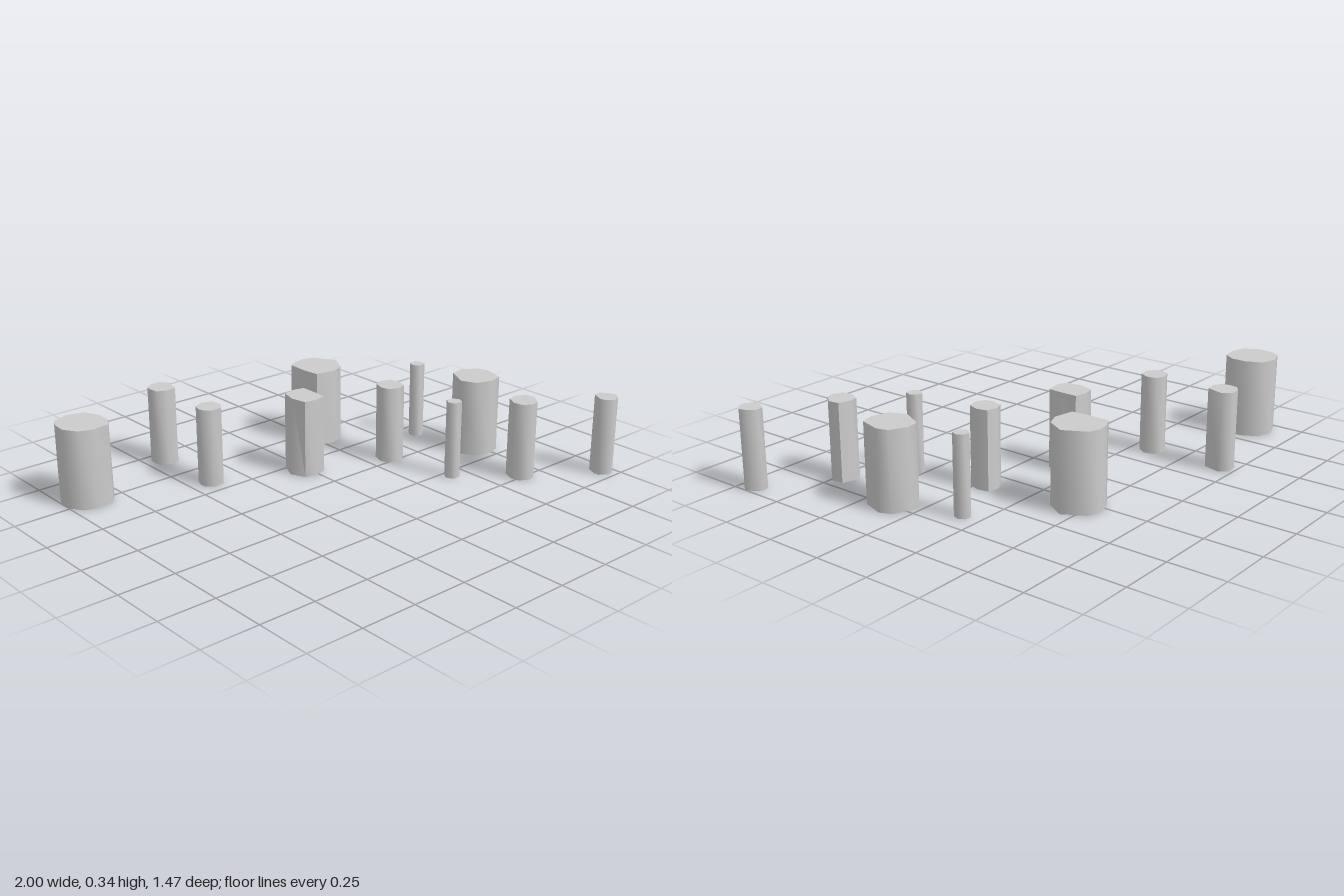
import * as THREE from 'three';
import { toCreasedNormals } from 'three/addons/utils/BufferGeometryUtils.js';

const HEIGHT = 0.345;
const material = new THREE.MeshStandardMaterial({ color: 0xcccccc });

// One upright stone pillar. The outline lists x, z corner offsets in hundredths
// of a unit; the top is cut to the range minX..maxX so some sides lean inward.
function pillar(name, x, z, outline, minX = -99, maxX = 99) {
  const corners = [];
  for (let i = 0; i < outline.length; i += 2) {
    corners.push(new THREE.Vector2(outline[i] / 100, -outline[i + 1] / 100));
  }
  const extruded = new THREE.ExtrudeGeometry(new THREE.Shape(corners), {
    depth: HEIGHT, bevelEnabled: false,
  });
  extruded.rotateX(-Math.PI / 2);
  const p = extruded.attributes.position;
  for (let i = 0; i < p.count; i++) {
    if (p.getY(i) > HEIGHT / 2) {
      p.setX(i, THREE.MathUtils.clamp(p.getX(i), minX / 100, maxX / 100));
    }
  }
  // Rounded sides, sharp rims
  const mesh = new THREE.Mesh(toCreasedNormals(extruded, 1.1), material);
  mesh.name = name;
  mesh.position.set(x, 0, z);
  return mesh;
}

export function createModel() {
  const group = new THREE.Group();
  group.name = 'stonePillars';

  // Large pillars
  group.add(
    pillar('largePillarRight', -0.897, -0.537,
      [-9.9, -3.7, -7.8, -8, -0.8, -10.7, 6.7, -8.6, 10.4, -1.6, 10.4, 4.8, 6.7, 9.6, -0.8, 10.7, -6.7, 8.6, -10.3, 2.7], -99, 9.9),
    pillar('largePillarBack', 0.297, -0.452,
      [-9.6, -7.5, -5, -10, 0, -10.9, 5.3, -9.1, 10.7, 0.5, 6, 8.6, 0, 11.2, -9, 9.6, -10.3, 3], -9.8, 10.5),
    pillar('largePillarLeft', 0.727, 0.123,
      [-9.9, 0.8, -5.1, -8.8, 0.8, -9.9, 7.8, -6.2, 9.9, -1.3, 6.7, 8.3, 0.8, 9.9, -6.7, 7.8], -9.9, 9.4),
    pillar('taperedPillar', -0.013, -0.182,
      [-8, 0, -4.8, -7.2, 0.5, -8.3, 5.9, -7.2, 8, 0.3, 5.3, 6.7, -0.5, 7.8, -5.3, 6.7], -6.6, 5.8),
  );

  // Medium pillars
  group.add(
    pillar('mediumPillarBack', -0.41, -0.676,
      [-5.1, -3.2, -2.4, -5.3, 2.4, -5.9, 5.6, -2.1, 3.5, 5.3, -1.3, 5.9, -5.1, 3.7, -5.6, 0]),
    pillar('mediumPillarRight', -0.4, -0.343,
      [-5.3, 0, -4, -3.7, 0.3, -5.3, 4.5, -3.7, 5.3, 1, 3, 4.8, -1.9, 5.3, -5, 2.1]),
    pillar('mediumPillarMiddle', 0.358, -0.04,
      [-5.6, 0.5, -4, -4.3, -0.3, -5.9, 4.5, -4.8, 5.6, 0, 4, 4.8, -0.3, 5.9, -4.5, 4.3]),
    pillar('mediumPillarFront', 0.652, 0.479,
      [-6.1, -0.5, -3.7, -5.3, 0, -5.9, 5.3, -4.3, 5.9, 0.5, 2.1, 5.3, -1.6, 5.9, -5.3, 3.7]),
    pillar('mediumPillarLeft', 0.951, 0.679,
      [-4.8, 0, -2.4, -4.5, 0.8, -5.1, 3.5, -2.4, 4.8, 1.3, 1.9, 4.5, -1.3, 5.1, -4.5, 2.4]),
  );

  // Thin pillars share one outline
  const thin = [-3.1, -0.5, -1.3, -3.1, 1.6, -2.8, 3.1, 0, 2.1, 2.7, -0.8, 3.1, -2.4, 1.9];
  group.add(
    pillar('thinPillarBack', 0.65, -0.168, thin),
    pillar('thinPillarFront', 0.418, 0.29, thin),
  );
  return group;
}
